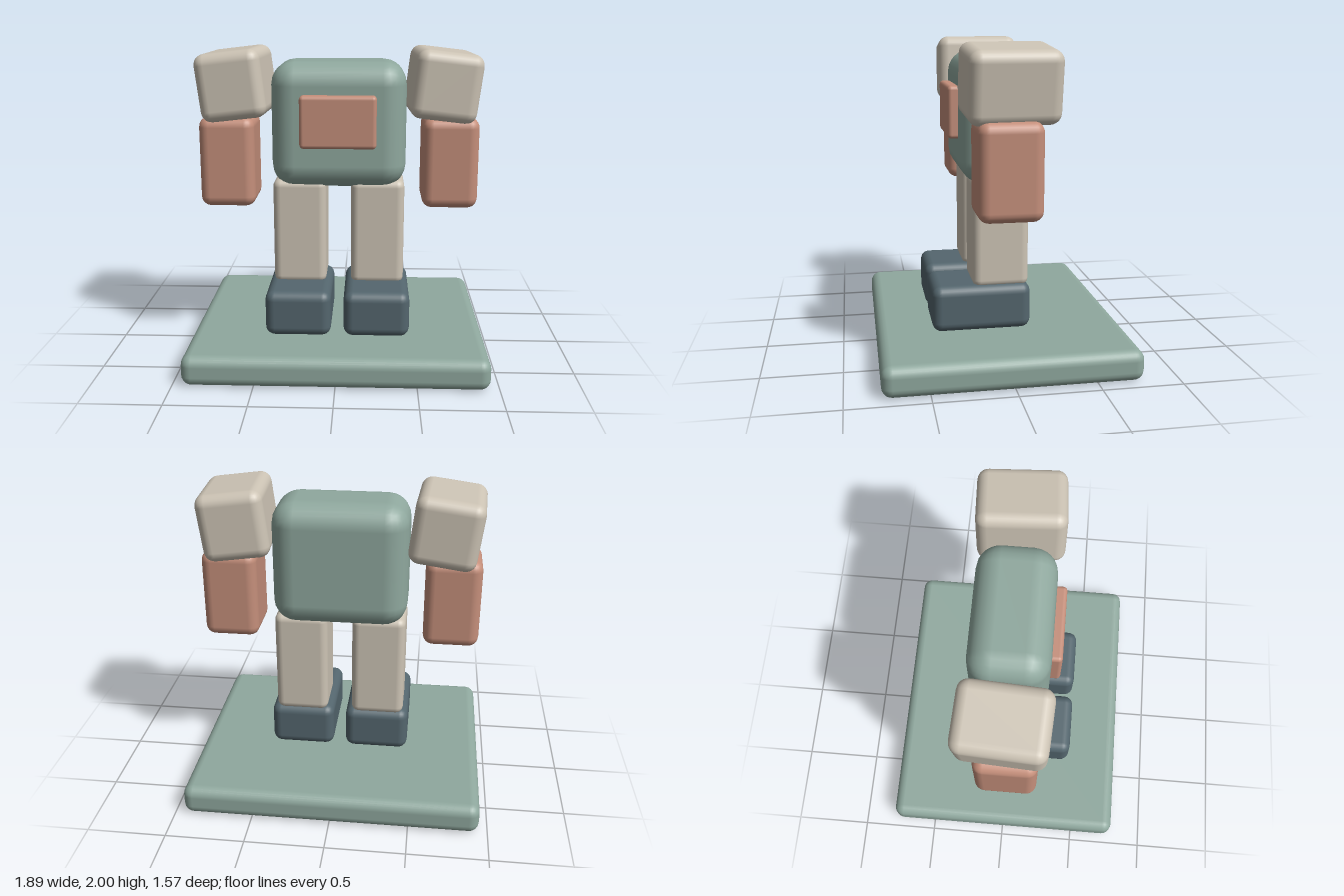
import * as THREE from 'three';
import { RoundedBoxGeometry } from 'three/addons/geometries/RoundedBoxGeometry.js';

const material = (name, color) => {
  const m = new THREE.MeshStandardMaterial({ color });
  m.name = name;
  return m;
};

// Rounded block given by its size and centre
function block(name, mat, [w, h, d], [x, y, z], radius) {
  const mesh = new THREE.Mesh(new RoundedBoxGeometry(w, h, d, 3, radius), mat);
  mesh.name = name;
  mesh.position.set(x, y, z);
  return mesh;
}

export function createModel() {
  const sage = material('sage green', 0x8fa89e);
  const cream = material('warm cream', 0xcdc4b5);
  const clay = material('clay', 0xc58f7b);
  const slate = material('slate', 0x54666e);

  const model = new THREE.Group();
  model.name = 'blockFigure';

  // Base, torso and chest plate
  model.add(
    block('base', sage, [1.89, 0.195, 1.57], [0, 0.0975, 0], 0.065),
    block('torso', sage, [0.86, 0.805, 0.49], [0, 1.5175, 0], 0.15),
    block('chestPlate', clay, [0.48, 0.33, 0.1], [0, 1.555, 0.258], 0.025),
  );

  // Legs and arms, mirrored
  for (const [side, s] of [['left', 1], ['right', -1]]) {
    const shoulder = block(side + 'Shoulder', cream, [0.42, 0.43, 0.546], [s * 0.6625, 1.77, 0], 0.07);
    shoulder.rotation.set(0, s * 0.055, s * -0.12);
    model.add(
      block(side + 'Foot', slate, [0.42, 0.295, 0.625], [s * 0.25, 0.3425, 0.1275], 0.06),
      block(side + 'Leg', cream, [0.345, 0.7, 0.355], [s * 0.2525, 0.815, 0.0025], 0.05),
      block(side + 'Forearm', clay, [0.355, 0.58, 0.385], [s * 0.7125, 1.28, 0.0225], 0.065),
      shoulder,
    );
  }
  return model;
}
